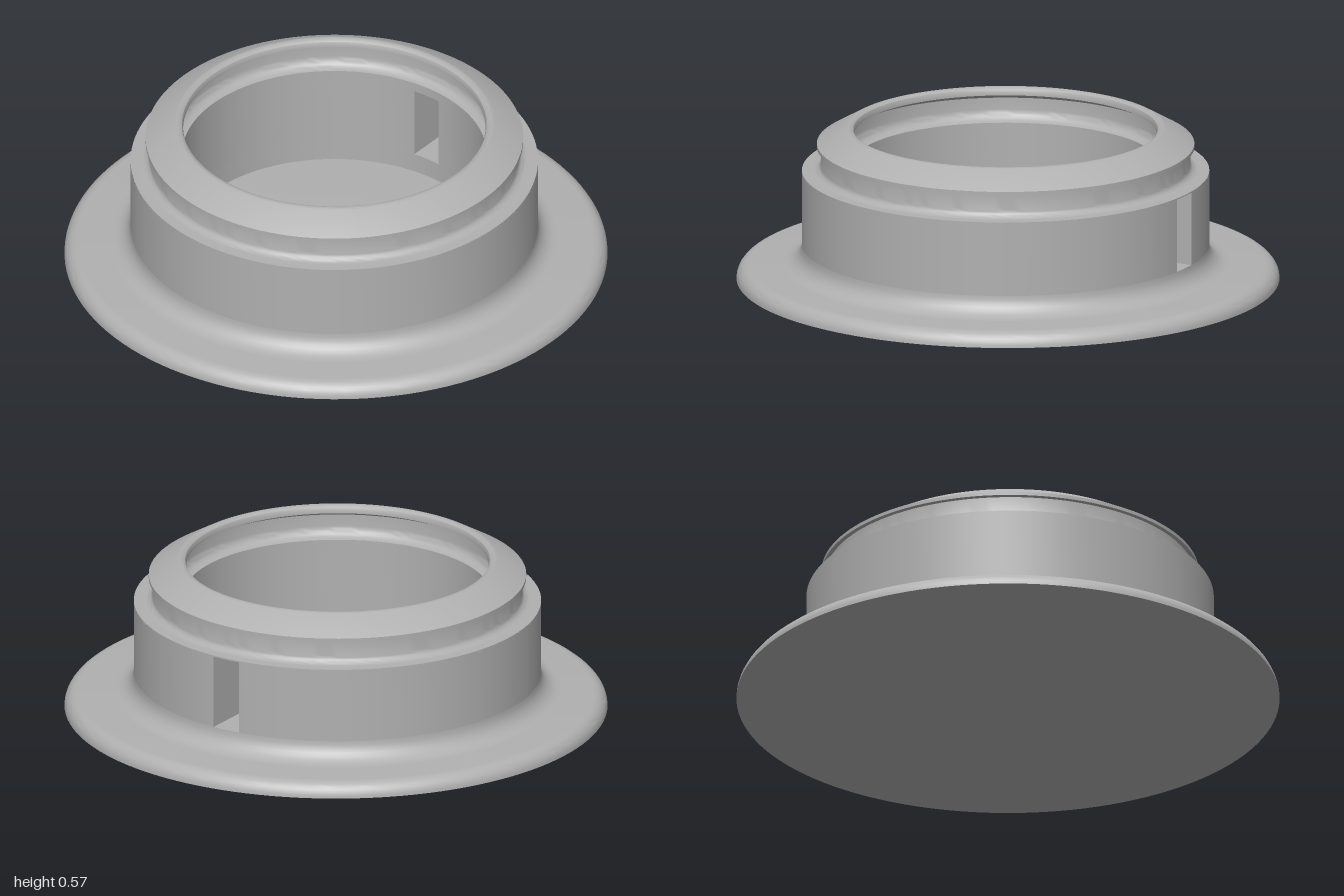
import * as THREE from 'three';
import { toCreasedNormals } from 'three/addons/utils/BufferGeometryUtils.js';

const CREASE = 0.6;
const AXIS_X = -0.01; // the socket sits slightly off the flange centre

// Points of an elliptical-free quarter arc, from angle a to b
function arc(cx, cy, r, a, b, n = 8) {
  return Array.from({ length: n + 1 }, (_, i) => {
    const t = a + ((b - a) * i) / n;
    return [cx + r * Math.cos(t), cy + r * Math.sin(t)];
  });
}

function turned(name, profile, material) {
  const points = profile.map(([x, y]) => new THREE.Vector2(x, y));
  const mesh = new THREE.Mesh(toCreasedNormals(new THREE.LatheGeometry(points, 128), CREASE), material);
  mesh.name = name;
  return mesh;
}

export function createModel() {
  const grey = new THREE.MeshStandardMaterial({ color: 0xb0b0b0 });
  grey.name = 'plain grey';
  const group = new THREE.Group();
  group.name = 'flangedSocket';
  const PI = Math.PI;

  // Round flange with a rolled upper edge; its top is also the socket floor
  group.add(turned('flange', [[0, 0], [1, 0], ...arc(0.945, 0.0, 0.055, 0, PI / 2), [0, 0.055]], grey));

  const socket = new THREE.Group();
  socket.name = 'socket';
  socket.position.x = AXIS_X;
  group.add(socket);

  // Filleted foot of the wall
  socket.add(turned('foot', [
    ...arc(0.825, 0.13, 0.075, -PI / 2, -PI), [0.56, 0.13], [0.56, 0.055],
  ], grey));

  // Wall with a parallel-sided slot on the left side
  const outer = 0.75, inner = 0.56, half = 0.056;
  const a = Math.asin(half / outer), b = Math.asin(half / inner);
  const ring = new THREE.Shape();
  ring.absarc(0, 0, outer, a, 2 * PI - a, false);
  ring.absarc(0, 0, inner, 2 * PI - b, b, true);
  ring.closePath();
  const wallGeometry = new THREE.ExtrudeGeometry(ring, { depth: 0.275, bevelEnabled: false, curveSegments: 128 });
  wallGeometry.rotateX(-PI / 2);
  const wall = new THREE.Mesh(toCreasedNormals(wallGeometry, CREASE), grey);
  wall.name = 'slottedWall';
  wall.position.y = 0.13;
  socket.add(wall);

  // Stepped collar with a thin rim, sloped top and inner groove
  socket.add(turned('collar', [
    [0.56, 0.405], [0.75, 0.405], [0.75, 0.41],
    ...arc(0.71, 0.44, 0.03, -PI / 2, -PI, 6),
    [0.68, 0.497], [0.695, 0.499], [0.695, 0.512], [0.59, 0.572],
    [0.58, 0.575], [0.57, 0.573], [0.561, 0.567], [0.557, 0.557], [0.557, 0.545],
    [0.6, 0.525], [0.6, 0.48], ...arc(0.56, 0.48, 0.04, 0, -PI / 2, 6), [0.56, 0.405],
  ], grey));

  return group;
}
